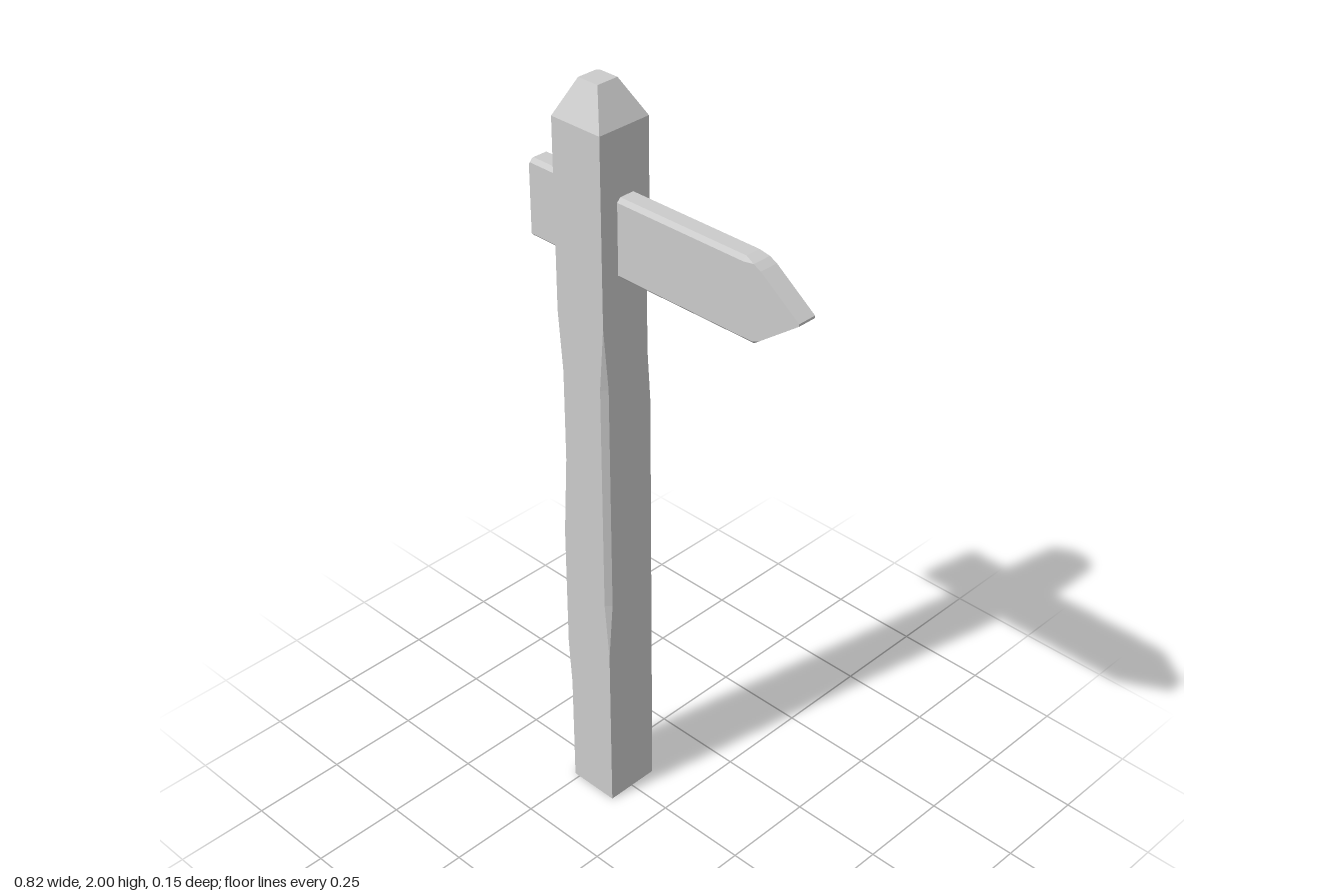
import * as THREE from 'three';

// Rectangle ring with four chamfered corners, counter-clockwise in (u, v).
// Corner order: (+u+v), (-u+v), (-u-v), (+u-v).
function ring([u0, u1], [v0, v1], [a, b, c, d]) {
  return [
    [u1, v1 - a], [u1 - a, v1],
    [u0 + b, v1], [u0, v1 - b],
    [u0, v0 + c], [u0 + c, v0],
    [u1 - d, v0], [u1, v0 + d],
  ];
}

// Flat-shaded skin through a list of 3D rings, closed at both ends.
function loft(rings) {
  const pos = [];
  const tri = (...pts) => pts.forEach((p) => pos.push(...p));
  const n = rings[0].length;
  for (let k = 0; k < rings.length - 1; k++) {
    const a = rings[k], b = rings[k + 1];
    for (let i = 0; i < n; i++) {
      const j = (i + 1) % n;
      tri(a[i], a[j], b[j]);
      tri(a[i], b[j], b[i]);
    }
  }
  const first = rings[0], last = rings[rings.length - 1];
  for (let i = 1; i < n - 1; i++) {
    tri(first[0], first[i + 1], first[i]);
    tri(last[0], last[i], last[i + 1]);
  }
  const geo = new THREE.BufferGeometry();
  geo.setAttribute('position', new THREE.Float32BufferAttribute(pos, 3));
  geo.computeVertexNormals();
  return geo;
}

// Linear lookup in a [height, value] list sorted by height.
function sample(list, y) {
  if (y <= list[0][0]) return list[0][1];
  for (let i = 1; i < list.length; i++) {
    const [y0, c0] = list[i - 1], [y1, c1] = list[i];
    if (y <= y1) return c0 + ((c1 - c0) * (y - y0)) / (y1 - y0);
  }
  return list[list.length - 1][1];
}

export function createModel() {
  const group = new THREE.Group();
  group.name = 'signpost';
  const material = new THREE.MeshStandardMaterial({ color: 0xcccccc, flatShading: true });
  const add = (name, geometry) => {
    const mesh = new THREE.Mesh(geometry, material);
    mesh.name = name;
    group.add(mesh);
  };

  // Post: square timber, each edge worn away by a different amount along its height
  const wear = [
    [[0.48, 0], [0.64, 0.014], [1.27, 0.014], [1.44, 0]],
    [[1.18, 0], [1.32, 0.009], [1.52, 0.009], [1.7, 0]],
    [[0.42, 0], [0.65, 0.012], [1.3, 0.012], [1.55, 0.005], [2, 0.006]],
    [[0, 0.009], [0.32, 0.009], [0.45, 0], [0.8, 0], [1.02, 0.013], [1.27, 0.013], [1.43, 0]],
  ];
  const heights = [...new Set(wear.flat().map(([y]) => y).concat(0, 1.915, 2))].sort((a, b) => a - b);
  add('post', loft(heights.map((y) => {
    const top = y === 2; // tapered cap
    const z = top ? [-0.037, 0.023] : [-0.077, 0.073];
    const x = top ? [-0.24, -0.18] : [-0.275, -0.125];
    return ring(z, x, wear.map((w) => sample(w, y))).map(([pz, px]) => [px, y, pz]);
  })));

  // Arrow board: chamfered plank narrowing to a point at +x
  const sections = [
    // x, bottom, top, chamfers: top front, bottom front, bottom back, top back
    [-0.41, 1.55, 1.745, [0.01, 0.008, 0.008, 0]],
    [-0.405, 1.55, 1.75, [0.01, 0.008, 0.008, 0]],
    [0.25, 1.55, 1.75, [0.01, 0.008, 0.008, 0]],
    [0.28, 1.55, 1.745, [0, 0.008, 0.008, 0]],
    [0.3, 1.566, 1.735, [0, 0, 0, 0]],
    [0.41, 1.648, 1.654, [0, 0, 0, 0]],
  ];
  add('arrowBoard', loft(sections.map(([x, y0, y1, c]) =>
    ring([y0, y1], [-0.027, 0.023], c).map(([y, z]) => [x, y, z]))));

  return group;
}
